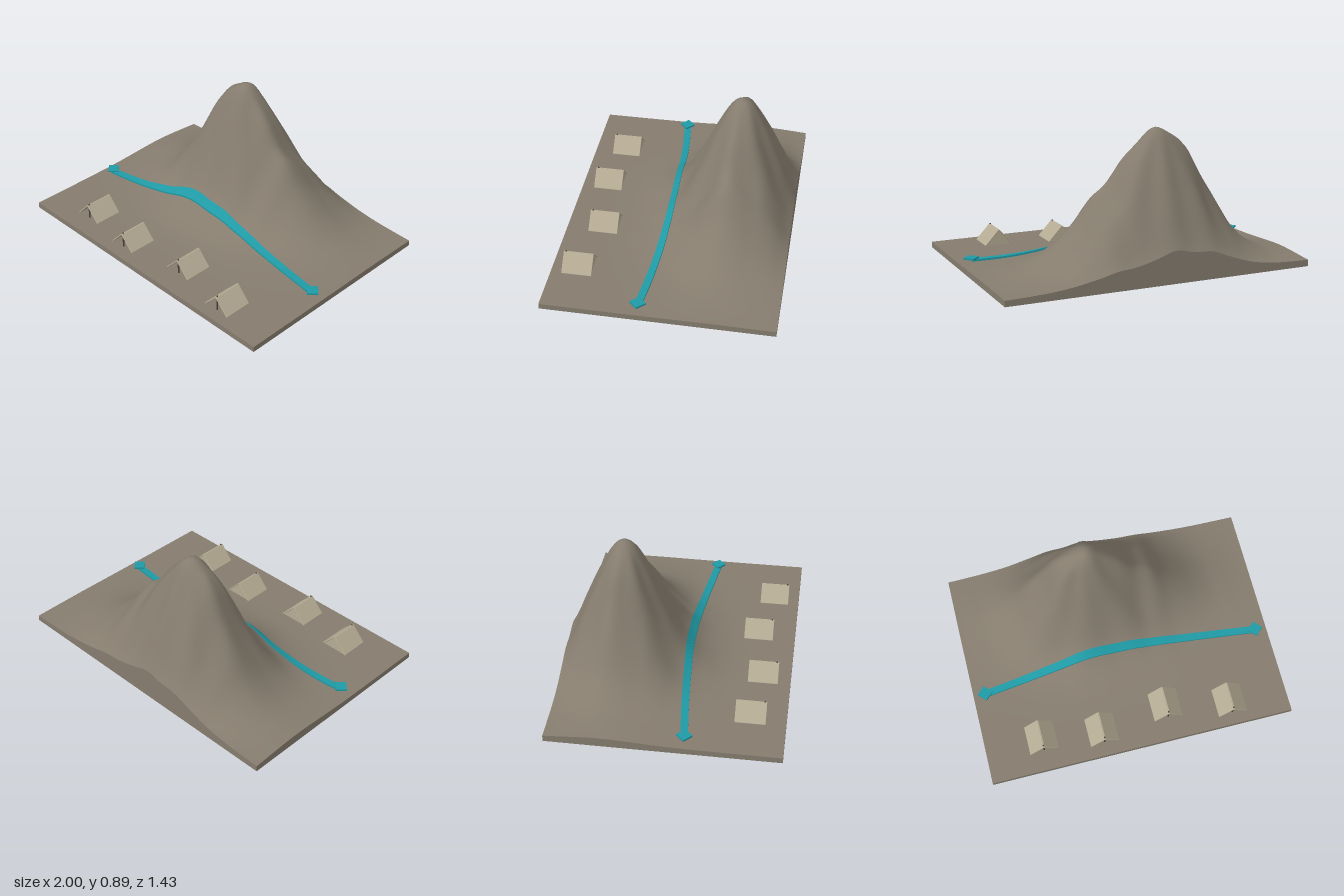
import * as THREE from 'three';
import { RoundedBoxGeometry } from 'three/addons/geometries/RoundedBoxGeometry.js';

const GROUND = 0.037, RISE = 0.863;

// Smooth interpolation through heights spaced 0.1 apart
function sample(table, start, v) {
  const t = Math.min(Math.max((v - start) / 0.1, 0), table.length - 1.001);
  const i = Math.floor(t), f = t - i;
  const p = (k) => table[Math.min(Math.max(k, 0), table.length - 1)];
  const [a, b, c, d] = [p(i - 1), p(i), p(i + 1), p(i + 2)];
  return b + 0.5 * f * (c - a + f * (2 * a - 5 * b + 4 * c - d + f * (3 * (b - c) + d - a)));
}

// Mountain outlines across the width (from x = -1) and the depth (from z = -0.8)
const ACROSS = [0.06, 0.075, 0.10, 0.155, 0.25, 0.405, 0.57, 0.76, 0.85, 0.89, 0.80,
  0.69, 0.545, 0.465, 0.335, 0.235, 0.155, 0.10, 0.07, 0.05, 0.04];
const DEEP = [0.10, 0.225, 0.465, 0.70, 0.875, 0.87, 0.69, 0.46, 0.257, 0.14, 0.08,
  0.05, 0.04, 0.037, 0.037, 0.037];

function groundHeight(x, z) {
  const a = (sample(ACROSS, -1, x) - GROUND) / RISE;
  const d = (sample(DEEP, -0.8, z) - GROUND) / RISE;
  const dx = x + 0.13, dz = z + 0.35;
  const r = Math.min(1, Math.hypot(dx, dz) / 0.35);
  const gullies = 1 + 0.06 * r * r * Math.sin(8 * Math.atan2(dz, dx));
  return GROUND + RISE * Math.max(0, a * d) * gullies;
}

function reshape(geometry, rule) {
  const p = geometry.attributes.position;
  for (let i = 0; i < p.count; i++) {
    p.setXYZ(i, ...rule(p.getX(i), p.getY(i), p.getZ(i)));
  }
  geometry.computeVertexNormals();
  return geometry;
}

function add(parent, name, geometry, material, x = 0, y = 0, z = 0) {
  const mesh = new THREE.Mesh(geometry, material);
  mesh.name = name;
  mesh.position.set(x, y, z);
  parent.add(mesh);
  return mesh;
}

function material(name, color) {
  const m = new THREE.MeshStandardMaterial({ color });
  m.name = name;
  return m;
}

export function createModel() {
  const model = new THREE.Group();
  model.name = 'mountainCamp';
  const rock = material('rock', 0x857c6e);
  const water = material('water', 0x1f9aa5);
  const canvas = material('canvas', 0xb5ab94);
  canvas.side = THREE.DoubleSide;
  const wood = material('wood', 0x4a4238);

  // Ground slab whose top face swells into the mountain
  const land = reshape(new THREE.BoxGeometry(2, 1, 1.43, 90, 1, 66),
    (x, y, z) => [x, y > 0 ? groundHeight(x, z) : 0, z]);
  add(model, 'terrain', land, rock);

  // River ribbon draped over the foot of the mountain
  const riverZ = (x) => 0.063 + 0.062 * (x / 0.92) ** 2;
  const ribbon = reshape(new THREE.BoxGeometry(1.84, 0.012, 0.046, 80, 1, 4), (x, y, z) => {
    const rz = z + riverZ(x);
    return [x, y + groundHeight(x, rz) + 0.014, rz];
  });
  add(model, 'river', ribbon, water);

  // Diamond blocks closing both river ends
  for (const side of [-1, 1]) {
    const x = side * 0.92, z = riverZ(x);
    const end = add(model, 'riverEnd', new THREE.BoxGeometry(0.07, 0.012, 0.07), water,
      x, side < 0 ? 0.073 : 0.064, z);
    end.rotation.y = Math.PI / 4;
  }

  // Tents: two sloping panels, a closed back and a front pole
  const half = 0.093, height = 0.1, length = 0.19;
  const slope = Math.hypot(half, height);
  const panel = new RoundedBoxGeometry(slope, 0.008, length, 2, 0.0039);
  const wall = new THREE.ShapeGeometry(new THREE.Shape([
    new THREE.Vector2(-half, 0), new THREE.Vector2(half, 0), new THREE.Vector2(0, height)]));
  const pole = new THREE.CylinderGeometry(0.005, 0.005, height + 0.006, 8);
  for (const [x, z] of [[-0.63, 0.497], [-0.238, 0.542], [0.205, 0.478], [0.62, 0.552]]) {
    const tent = new THREE.Group();
    tent.name = 'tent';
    tent.position.set(x, 0.036, z);
    for (const side of [-1, 1]) {
      const roof = add(tent, 'tentPanel', panel, canvas, side * half / 2, height / 2, 0);
      roof.rotation.z = -side * Math.atan2(height, half);
    }
    add(tent, 'tentBack', wall, canvas, 0, 0, -length / 2 + 0.006);
    add(tent, 'tentPole', pole, wood, 0, (height + 0.006) / 2, length / 2 - 0.015);
    model.add(tent);
  }
  return model;
}
